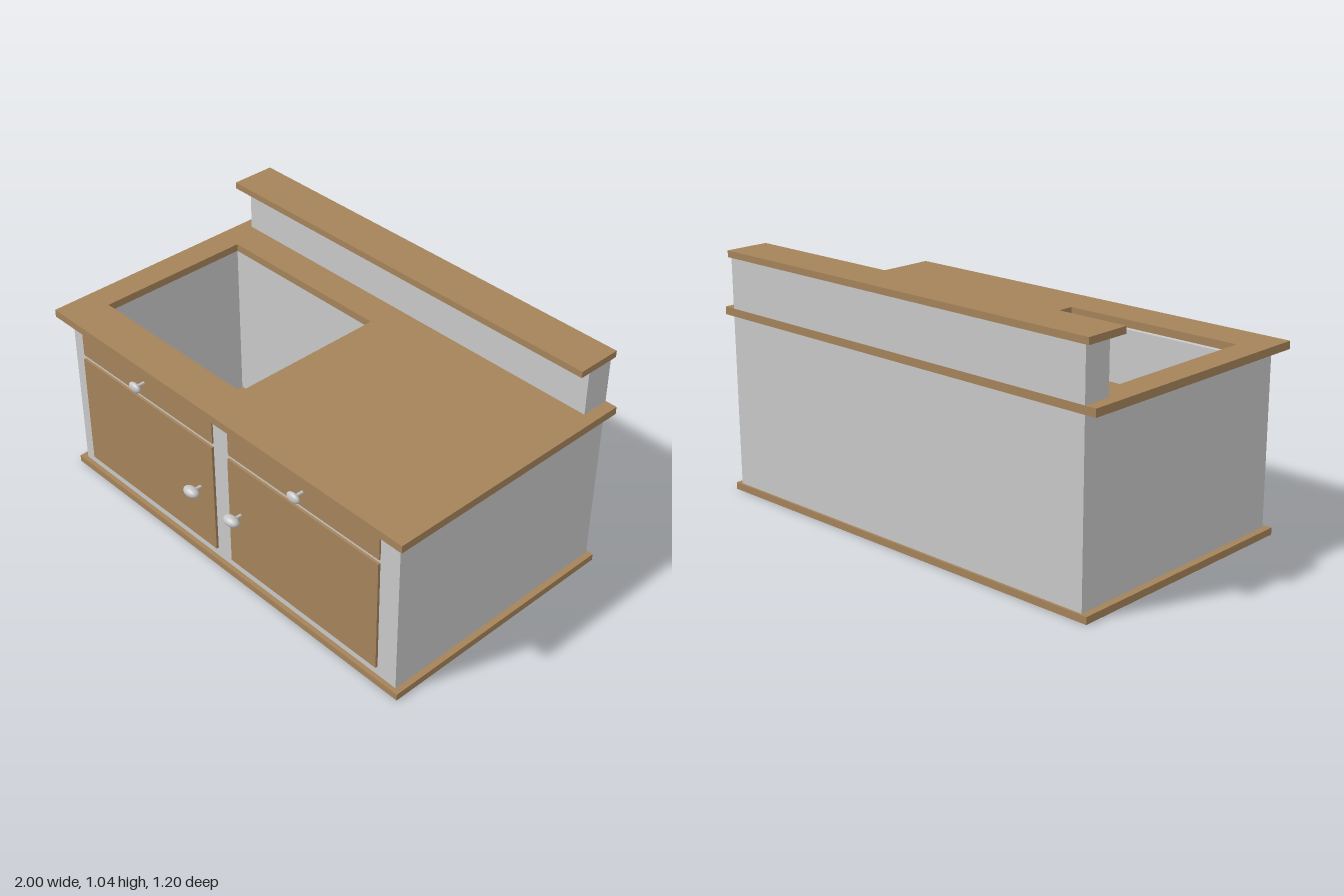
import * as THREE from 'three';

export function createModel() {
  const group = new THREE.Group();
  const material = (name, color) => new THREE.MeshStandardMaterial({ name, color });
  const wood = material('wood', 0xa5835a);
  const paint = material('greyPaint', 0xc9c9c9);
  const metal = material('knobMetal', 0xc4c4c4);

  function add(name, geometry, mat, parent = group) {
    const mesh = new THREE.Mesh(geometry, mat);
    mesh.name = name;
    parent.add(mesh);
    return mesh;
  }

  // Box given by its limits on each axis
  function box(name, mat, [x0, x1], [y0, y1], [z0, z1]) {
    const mesh = add(name, new THREE.BoxGeometry(x1 - x0, y1 - y0, z1 - z0), mat);
    mesh.position.set((x0 + x1) / 2, (y0 + y1) / 2, (z0 + z1) / 2);
  }

  const rect = (path, [x0, x1], [z0, z1]) =>
    path.moveTo(x0, z0).lineTo(x1, z0).lineTo(x1, z1).lineTo(x0, z1).closePath();

  // Horizontal slab with a rectangular opening cut through it
  function slabWithOpening(name, mat, xs, [y0, y1], zs, holeX, holeZ) {
    const shape = rect(new THREE.Shape(), xs, zs);
    shape.holes.push(rect(new THREE.Path(), holeX, holeZ));
    const geometry = new THREE.ExtrudeGeometry(shape, { depth: y1 - y0, bevelEnabled: false });
    geometry.rotateX(Math.PI / 2).translate(0, y1, 0);
    add(name, geometry, mat);
  }

  // Base, cabinet and worktop, with the sink well open down to the base
  box('base', wood, [-0.98, 0.975], [0, 0.03], [-0.6, 0.535]);
  slabWithOpening('cabinetBody', paint, [-0.95, 0.948], [0.03, 0.765], [-0.59, 0.515],
    [-0.88, -0.05], [-0.32, 0.36]);
  slabWithOpening('worktop', wood, [-1, 1], [0.765, 0.798], [-0.592, 0.565],
    [-0.88, -0.05], [-0.32, 0.382]);

  // Raised back wall and its shelf
  box('backWall', paint, [-0.95, 0.948], [0.798, 1.012], [-0.59, -0.465]);
  box('topShelf', wood, [-0.965, 0.967], [1.012, 1.04], [-0.593, -0.395]);

  // Oval knob on a thin stem
  function knob(name, x, y, z, [rx, ry, rz], surface) {
    const part = new THREE.Group();
    part.name = name;
    part.position.set(x, y, z);
    add('knobHead', new THREE.SphereGeometry(1, 28, 18).scale(rx, ry, rz), metal, part);
    const length = z - surface;
    const stem = new THREE.CylinderGeometry(0.007, 0.007, length, 16).rotateX(Math.PI / 2);
    add('knobStem', stem, metal, part).position.z = -length / 2;
    group.add(part);
  }

  // A drawer above a door on each side
  for (const [side, x0, x1, drawerKnob, doorKnob] of [
    ['right', -0.885, -0.063, -0.48, -0.145],
    ['left', 0.03, 0.852, 0.452, 0.098],
  ]) {
    box(side + 'Drawer', wood, [x0, x1], [0.61, 0.747], [0.51, 0.522]);
    box(side + 'Door', wood, [x0, x1], [0.073, 0.592], [0.51, 0.526]);
    knob(side + 'DrawerKnob', drawerKnob, 0.681, 0.568, [0.033, 0.022, 0.015], 0.522);
    knob(side + 'DoorKnob', doorKnob, 0.351, 0.575, [0.04, 0.022, 0.025], 0.526);
  }
  return group;
}
